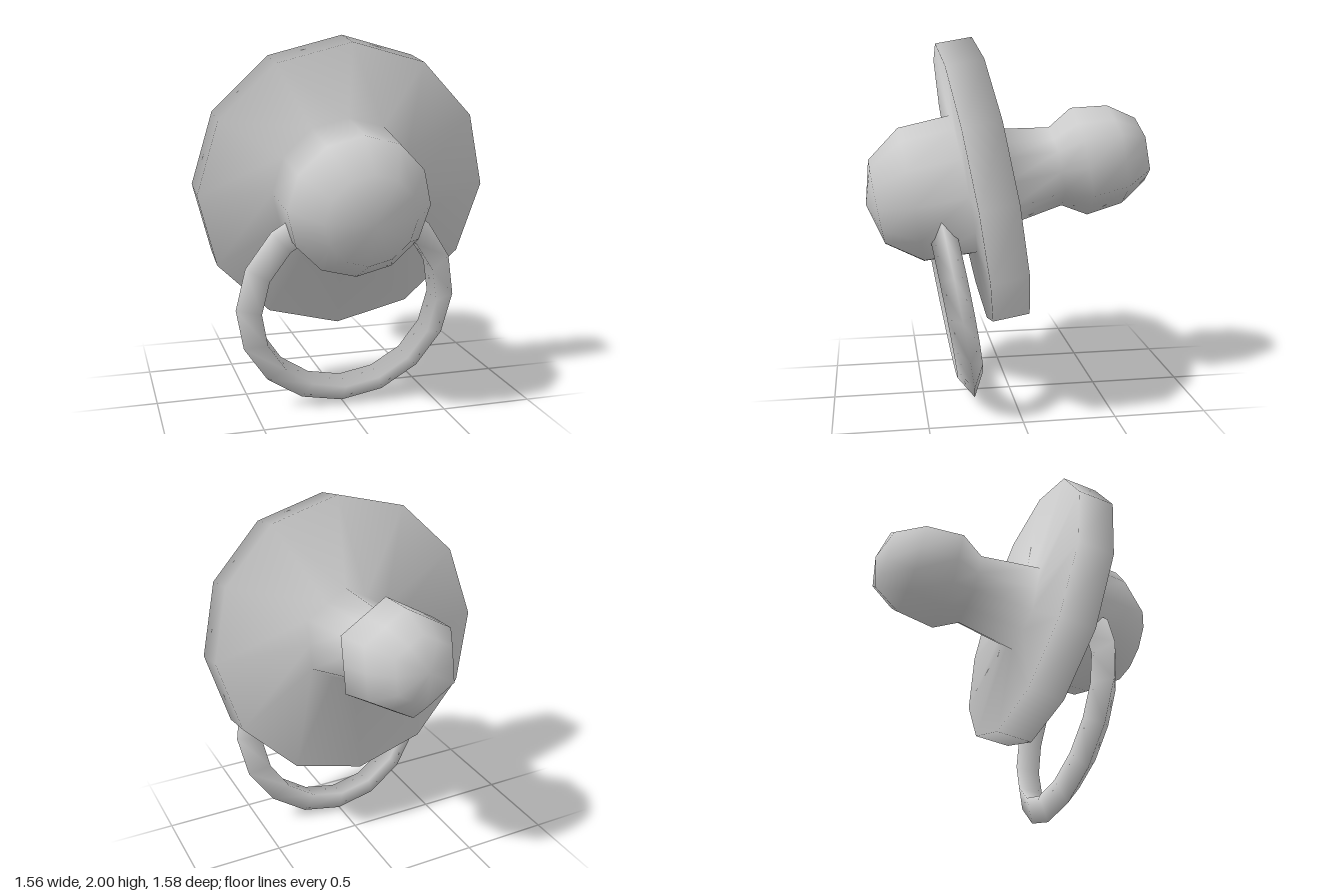
import * as THREE from 'three';

const SIDES = 12;
const TILT = THREE.MathUtils.degToRad(10);

// Profile [radius, distance along the axis] from the nipple tip to the knob front
const PROFILE = [
  [0, -0.97], [0.183, -0.925], [0.282, -0.777], [0.307, -0.57], [0.224, -0.432], [0.278, -0.1], // nipple
  [0.782, -0.1], [0.782, 0.1],                                                                  // shield rim
  [0.392, 0.1], [0.378, 0.385], [0.238, 0.574], [0, 0.635],                                     // knob
];
const NIPPLE_END = 5, SHIELD_END = 8, LAST = PROFILE.length - 1;

// One smooth turned body; the nipple rows are squeezed from twelve sides to a hexagon
function bodyGeometry() {
  const geo = new THREE.LatheGeometry(PROFILE.map(([r, a]) => new THREE.Vector2(r, a)), SIDES);
  const { position, normal } = geo.attributes;
  for (let i = 0; i <= SIDES; i++) {
    for (let j = 0; j <= LAST; j++) {
      const v = i * (LAST + 1) + j;
      if (i % 2 && j <= NIPPLE_END) {
        const k = Math.cos(Math.PI / 6);
        position.setX(v, position.getX(v) * k);
        position.setZ(v, position.getZ(v) * k);
      }
      if (j === 0) normal.setXYZ(v, 0, -1, 0);
      if (j === LAST) normal.setXYZ(v, 0, 1, 0);
    }
  }
  return geo.rotateX(Math.PI / 2); // axis now points to the front
}

// Keeps only the bands of the body between two profile points
function bandRange(body, from, to) {
  const geo = body.clone();
  const index = Array.from(body.index.array).filter((_, n) => {
    const row = Math.floor(n / 6) % LAST;
    return row >= from && row < to;
  });
  geo.setIndex(index);
  return geo;
}

export function createModel() {
  const model = new THREE.Group();
  model.name = 'pacifier';
  const grey = new THREE.MeshStandardMaterial({ color: 0xcccccc });
  grey.name = 'light grey';

  const add = (parent, name, geometry) => {
    const mesh = new THREE.Mesh(geometry, grey);
    mesh.name = name;
    parent.add(mesh);
    return mesh;
  };

  // Nipple, shield and knob share one tilted axis
  const body = new THREE.Group();
  body.name = 'body';
  body.position.set(0, 1.216, 0.166);
  body.rotation.x = TILT;
  model.add(body);

  const turned = bodyGeometry();
  add(body, 'nipple', bandRange(turned, 0, NIPPLE_END));
  add(body, 'shield', bandRange(turned, NIPPLE_END, SHIELD_END));
  add(body, 'knob', bandRange(turned, SHIELD_END, LAST));

  // Ring handle hanging from the knob, with a three-sided section
  const ring = add(model, 'ringHandle', new THREE.TorusGeometry(0.523, 0.083, 3, 16));
  ring.position.set(0, 0.598, 0.325);
  ring.rotation.x = TILT;

  return model;
}
